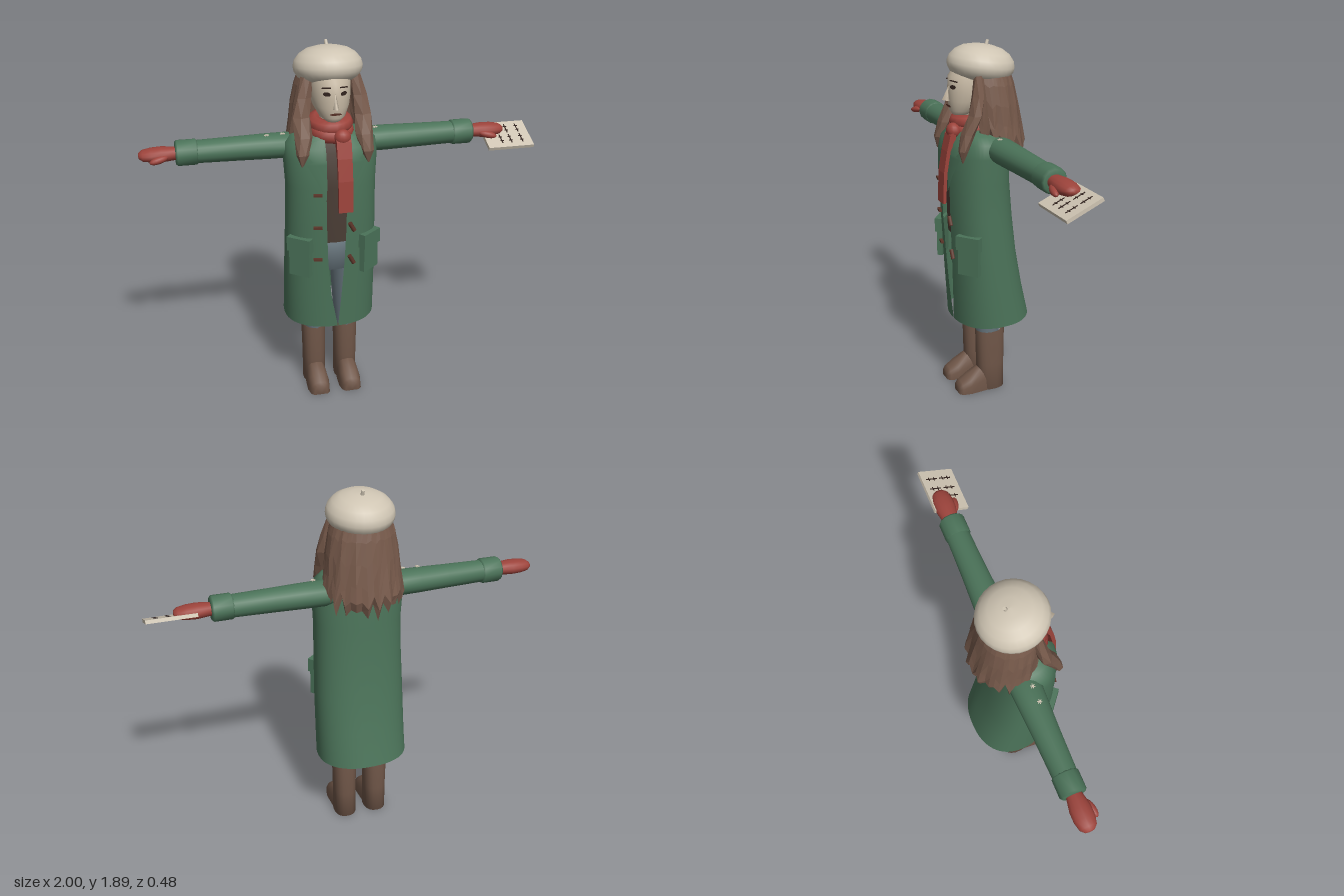
import * as THREE from 'three';
import { mergeVertices } from 'three/addons/utils/BufferGeometryUtils.js';

const mat = (name, color, extra = {}) => new THREE.MeshStandardMaterial({ name, color, ...extra });
const TAU = Math.PI * 2;
const lerp = THREE.MathUtils.lerp;

// surface from a rule p(i, j) over a grid of cells, seams welded
function grid(nu, nv, p, flat = false) {
  const pos = [], idx = [];
  for (let j = 0; j <= nv; j++) for (let i = 0; i <= nu; i++) pos.push(...p(i, j));
  for (let j = 0; j < nv; j++) for (let i = 0; i < nu; i++) {
    const a = j * (nu + 1) + i, c = a + nu + 1;
    idx.push(a, a + 1, c, a + 1, c + 1, c);
  }
  let g = new THREE.BufferGeometry();
  g.setAttribute('position', new THREE.Float32BufferAttribute(pos, 3));
  g.setIndex(idx);
  g = flat ? g.toNonIndexed() : mergeVertices(g, 1e-5);
  g.computeVertexNormals();
  return g;
}

// rounded cross-section: half width rx, front and back depth
function section(t, rx, front, back, e = 2) {
  const pw = (v) => Math.sign(v) * Math.abs(v) ** (2 / e);
  return [rx * pw(Math.sin(t)), (front + back) / 2 + ((front - back) / 2) * pw(Math.cos(t))];
}

// upright loft through rows of [y, rx, front, back], with a centre x
const loftY = (rows, n, x0 = 0, e = 2) => grid(n, rows.length - 1, (i, j) => {
  const [y, rx, f, b] = rows[j];
  const [x, z] = section((i / n) * TAU, rx, f, b, e);
  return [x0 + x, y, z];
});

// sideways loft through rows of [x, ry, rz]
const loftX = (rows, n) => grid(n, rows.length - 1, (i, j) => {
  const [x, ry, rz] = rows[j], t = (i / n) * TAU;
  return [x, ry * Math.cos(t), rz * Math.sin(t)];
});

// coat rows: y, half width, front z, back z, opening to right, opening to left
const coatRows = [
  [0.41, 0.24, 0.165, -0.24, 0.012, -0.01], [0.6, 0.238, 0.175, -0.2, 0.028, 0.025],
  [0.8, 0.236, 0.185, -0.162, 0.042, 0.043], [1.0, 0.23, 0.195, -0.138, 0.05, 0.05],
  [1.2, 0.228, 0.198, -0.12, 0.05, 0.052], [1.34, 0.236, 0.188, -0.115, 0.052, 0.054],
  [1.41, 0.228, 0.17, -0.105, 0.055, 0.055], [1.445, 0.185, 0.155, -0.095, 0.055, 0.055],
  [1.465, 0.11, 0.12, -0.07, 0.05, 0.05]];
const E = 2.3;
function coatRow(y) {
  let k = 0;
  while (k < coatRows.length - 2 && coatRows[k + 1][0] < y) k++;
  const f = (y - coatRows[k][0]) / (coatRows[k + 1][0] - coatRows[k][0]);
  return coatRows[k].map((v, i) => lerp(v, coatRows[k + 1][i], f));
}
const edgeAngle = (x, rx) => Math.sign(x) * Math.asin(Math.abs(x / rx) ** (E / 2));
function coatFront(x, y) {
  const r = coatRow(y);
  return section(edgeAngle(Math.max(-0.99, Math.min(0.99, x / r[1])) * r[1], r[1]), r[1], r[2], r[3], E)[1];
}

export function createModel() {
  const model = new THREE.Group(), body = new THREE.Group();
  body.name = 'figure';
  body.position.x = -0.07;
  model.add(body);
  const ds = { side: THREE.DoubleSide };
  const M = {
    coat: mat('coat green', 0x4b7359, ds), red: mat('knit red', 0x9c433b), hair: mat('hair brown', 0x775a4b, ds),
    cream: mat('cream', 0xcfc5b3), skin: mat('skin', 0xc8baa5), boot: mat('boot brown', 0x6e5547),
    jeans: mat('denim grey blue', 0x69777f), shirt: mat('dark jumper', 0x4a3d35),
    toggle: mat('toggle brown', 0x5c3529), dark: mat('dark brown', 0x33241f) };
  function add(name, geo, m, p = [0, 0, 0], r = [0, 0, 0], s = [1, 1, 1], parent = body) {
    const mesh = new THREE.Mesh(geo, m);
    mesh.name = name;
    mesh.position.set(...p); mesh.rotation.set(...r); mesh.scale.set(...s);
    parent.add(mesh);
    return mesh;
  }
  const ball = new THREE.SphereGeometry(1, 16, 10);
  const box = (x, y, z) => new THREE.BoxGeometry(x, y, z);

  // coat shell, open down the front
  add('coat', grid(48, coatRows.length - 1, (i, j) => {
    const [y, rx, f, b, right, left] = coatRows[j];
    const t = lerp(edgeAngle(right, rx), TAU - edgeAngle(left, rx), i / 48);
    const [x, z] = section(t, rx, f, b, E);
    return [x, y + (j === 0 ? 0.01 * (1 - Math.cos(t)) : 0), z];
  }), M.coat);

  // clothes under the coat
  add('jumper', loftY([[0.9, 0.17, 0.17, -0.1], [1.2, 0.17, 0.18, -0.09], [1.38, 0.18, 0.165, -0.08],
    [1.45, 0.09, 0.11, -0.04], [1.46, 0, 0.04, 0.04]], 24), M.shirt);
  add('hips', loftY([[0.68, 0, 0.02, 0.02], [0.72, 0.15, 0.12, -0.1], [0.905, 0.168, 0.163, -0.1],
    [0.92, 0, 0.02, 0.02]], 24), M.jeans);
  add('neck', new THREE.CylinderGeometry(0.05, 0.055, 0.14, 14), M.skin, [0, 1.5, 0.03]);

  for (const s of [-1, 1]) {
    const side = s > 0 ? 'left' : 'right';
    // legs and boots
    add(side + 'TrouserLeg', loftY([[0.3, 0.052, 0.06, -0.06], [0.42, 0.062, 0.075, -0.07],
      [0.8, 0.088, 0.13, -0.09]], 16, s * 0.084), M.jeans);
    add(side + 'BootShaft', loftY([[0, 0, 0, 0], [0, 0.06, 0.06, -0.088], [0.15, 0.06, 0.062, -0.088],
      [0.35, 0.064, 0.066, -0.09], [0.345, 0.05, 0.05, -0.07]], 18, s * 0.087, 2.4), M.boot);
    const toe = [[-0.02, 0.05, 0.14], [0.06, 0.057, 0.13], [0.12, 0.06, 0.095], [0.165, 0.052, 0.065],
      [0.182, 0.036, 0.05], [0.182, 0, 0]];
    add(side + 'BootFoot', grid(16, toe.length - 1, (i, j) => {
      const [z, w, h] = toe[j], t = (i / 16) * TAU, c = Math.cos(t), sn = Math.sin(t);
      return [s * 0.087 + w * Math.sign(c) * Math.abs(c) ** 0.7, h * Math.max(0, sn) ** 0.8, z];
    }), M.boot);

    // sleeve, cuff and mitten
    const arm = new THREE.Group();
    arm.name = side + 'Arm';
    arm.position.set(0, 1.375, -0.017);
    arm.rotation.y = s > 0 ? 0 : Math.PI;
    body.add(arm);
    add('sleeve', loftX([[0.1, 0.05, 0.07], [0.2, 0.063, 0.078], [0.3, 0.063, 0.073], [0.45, 0.06, 0.066],
      [0.66, 0.056, 0.06]], 20), M.coat, undefined, undefined, undefined, arm);
    add('cuff', loftX([[0.645, 0.04, 0.04], [0.645, 0.055, 0.057], [0.655, 0.064, 0.066], [0.745, 0.064, 0.066],
      [0.755, 0.055, 0.057], [0.755, 0.03, 0.03]], 12), M.coat, undefined, undefined, undefined, arm);
    add('mitten', loftX([[0.73, 0.03, 0.035], [0.77, 0.033, 0.042], [0.82, 0.037, 0.052], [0.87, 0.034, 0.052],
      [0.91, 0.027, 0.042], [0.928, 0.015, 0.024], [0.932, 0, 0]], 14), M.red,
    [0, 0, 0], undefined, undefined, arm);
    add('thumb', ball, M.red, [0.835, -0.012, s * 0.05], [0, s * -0.25, -0.2], [0.048, 0.018, 0.02], arm);

    // lapel lying on the chest
    const lap = [[1.15, 0.052, 0.056], [1.24, 0.05, 0.095], [1.33, 0.05, 0.145], [1.345, 0.05, 0.115],
      [1.4, 0.05, 0.16], [1.455, 0.05, 0.115]];
    add(side + 'Lapel', grid(6, lap.length - 1, (i, j) => {
      const [y, a, b] = lap[j], x = s * lerp(a, b, i / 6);
      return [x, y, coatFront(x, y) + 0.012];
    }), M.coat);

    // patch pocket with flap
    const pocket = new THREE.Group();
    pocket.name = side + 'Pocket';
    pocket.position.set(s * 0.175, 0.83, coatFront(s * 0.175, 0.83));
    pocket.rotation.y = s * 0.68;
    body.add(pocket);
    add('pocketBag', box(0.115, 0.19, 0.03), M.coat, [0, -0.01, 0.005], undefined, undefined, pocket);
    add('pocketFlap', box(0.13, 0.075, 0.045), M.coat, [0, 0.068, 0.006], undefined, undefined, pocket);

    // front lock of hair
    const lock = [[1.32, 0.165, 0.17, 0.004], [1.38, 0.16, 0.165, 0.032], [1.46, 0.15, 0.135, 0.045],
      [1.55, 0.152, 0.095, 0.046], [1.64, 0.137, 0.075, 0.04], [1.74, 0.115, 0.06, 0.03]];
    add(side + 'HairLock', grid(6, lock.length - 1, (i, j) => {
      const [y, x, z, w] = lock[j], t = (i / 6) * TAU + j * 0.3;
      return [s * x + w * Math.sin(t), y, z + w * 0.75 * Math.cos(t)];
    }, true), M.hair);

    // eye and brow
    add(side + 'Eye', new THREE.CircleGeometry(0.019, 16), M.dark, [s * 0.041, 1.673, 0.166], [0, s * 0.48, s * 0.08], [1, 0.55, 1]);
    add(side + 'Brow', box(0.045, 0.005, 0.006), M.dark, [s * 0.042, 1.702, 0.162], [0, s * 0.5, s * -0.1]);
  }

  // head
  add('head', loftY([[1.525, 0, 0.12, 0.12], [1.528, 0.035, 0.15, 0.07], [1.55, 0.064, 0.166, 0.02],
    [1.6, 0.09, 0.172, -0.06], [1.65, 0.099, 0.174, -0.09], [1.72, 0.1, 0.17, -0.1],
    [1.79, 0.085, 0.12, -0.1], [1.8, 0, 0, 0]], 28), M.skin);
  const nose = new THREE.ConeGeometry(0.02, 0.075, 4);
  add('nose', nose, M.skin, [0, 1.638, 0.178], [-0.18, 0, 0], [0.75, 1, 1.2]);
  add('mouth', new THREE.CircleGeometry(0.03, 14), M.toggle, [0, 1.574, 0.174], [0.15, 0, 0], [1, 0.2, 1]);

  // long hair with zigzag ends
  const N = 32, hairRows = [[0, 0.14, 0.115, -0.14], [0.2, 0.165, 0.12, -0.165], [0.45, 0.182, 0.12, -0.185],
    [0.7, 0.19, 0.12, -0.205], [0.88, 0.2, 0.12, -0.22], [1, 0.185, 0.11, -0.205]];
  add('longHair', grid(N, hairRows.length - 1, (i, j) => {
    const [v, rx, f, b] = hairRows[j];
    const t = lerp(0.8, TAU - 0.8, i / N), back = (1 - Math.cos(t)) / 2;
    const wave = 1 + (i % 2 ? 0.03 : -0.02) * v + 0.03 * Math.sin(i * 1.9 + v * 4) * v;
    const end = 1.45 - 0.1 * back - (i % 2 ? 0.05 : 0) - 0.025 * Math.sin(i * 2.3);
    const [x, z] = section(t, rx * wave, f, b * wave);
    return [x, lerp(1.76, end, v), z];
  }, true), M.hair);

  // beret
  const beret = new THREE.Group();
  beret.name = 'beret';
  beret.position.set(0, 1.715, 0.005);
  beret.rotation.x = -0.13;
  body.add(beret);
  const curve = [[0, 0.0], [0.125, -0.012], [0.15, 0.005], [0.166, 0.03], [0.17, 0.055], [0.162, 0.085],
    [0.138, 0.115], [0.1, 0.138], [0.05, 0.15], [0, 0.153]].map(([x, y]) => new THREE.Vector2(x, y));
  add('cap', new THREE.LatheGeometry(curve, 28), M.cream, undefined, undefined, undefined, beret);
  add('stem', new THREE.CylinderGeometry(0.008, 0.01, 0.03, 8), M.cream, [0, 0.16, -0.02], [-0.2, 0, 0.1], undefined, beret);

  // scarf wraps, knot and hanging tail
  const wrap = new THREE.TorusGeometry(0.075, 0.042, 8, 20).rotateX(Math.PI / 2);
  add('scarfUpperWrap', wrap, M.red, [0, 1.5, 0.04], [0.1, 0.1, 0.03], [0.98, 0.85, 1.08]);
  add('scarfLowerWrap', wrap, M.red, [0, 1.465, 0.045], [0.15, 0, -0.06], [1.03, 0.9, 1.1]);
  add('scarfKnot', ball, M.red, [0.035, 1.455, 0.165], undefined, [0.042, 0.04, 0.035]);
  const tail = new THREE.Shape([[0.165, 1.46], [0.195, 1.44], [0.215, 1.36], [0.233, 1.25], [0.24, 1.09],
    [0.224, 1.09], [0.214, 1.25], [0.195, 1.36], [0.165, 1.42]].map((p) => new THREE.Vector2(...p)));
  add('scarfTail', new THREE.ExtrudeGeometry(tail, { depth: 0.073, bevelEnabled: false }).rotateY(-Math.PI / 2),
    M.red, [0.073, 0, 0]);

  // toggles on one edge, loops on the other
  for (const y of [0.995, 0.81])
    add('toggle', new THREE.CylinderGeometry(0.011, 0.011, 0.05, 8), M.toggle, [0.075, y, coatFront(0.075, y) + 0.016], [0, 0, 0.5]);
  for (const y of [1.175, 1.0, 0.82])
    add('toggleLoop', box(0.045, 0.012, 0.02), M.toggle, [-0.095, y, coatFront(-0.095, y) + 0.006], [0, -0.2, 0]);

  // notebook with ruled marks
  const book = new THREE.Group();
  book.name = 'notebook';
  book.position.set(0.945, 1.343, 0.012);
  book.rotation.x = 0.41;
  body.add(book);
  add('pages', box(0.245, 0.018, 0.19), M.cream, undefined, undefined, undefined, book);
  for (const x of [-0.04, 0.01, 0.07]) for (const z of [-0.042, 0.035]) {
    add('ruledMark', box(0.005, 0.003, 0.062), M.dark, [x, 0.01, z], undefined, undefined, book);
    for (const k of [-1, 1]) add('ruledTick', box(0.02, 0.003, 0.004), M.dark, [x, 0.01, z + k * 0.014], undefined, undefined, book);
  }

  // snowflakes on the shoulders
  for (const [x, y] of [[-0.31, 1.439], [-0.23, 1.441], [0.24, 1.441]]) for (let k = 0; k < 3; k++)
    add('snowflake', box(0.024, 0.004, 0.004), M.cream, [x, y, 0.005], [0, (k * Math.PI) / 3, 0]);

  return model;
}
